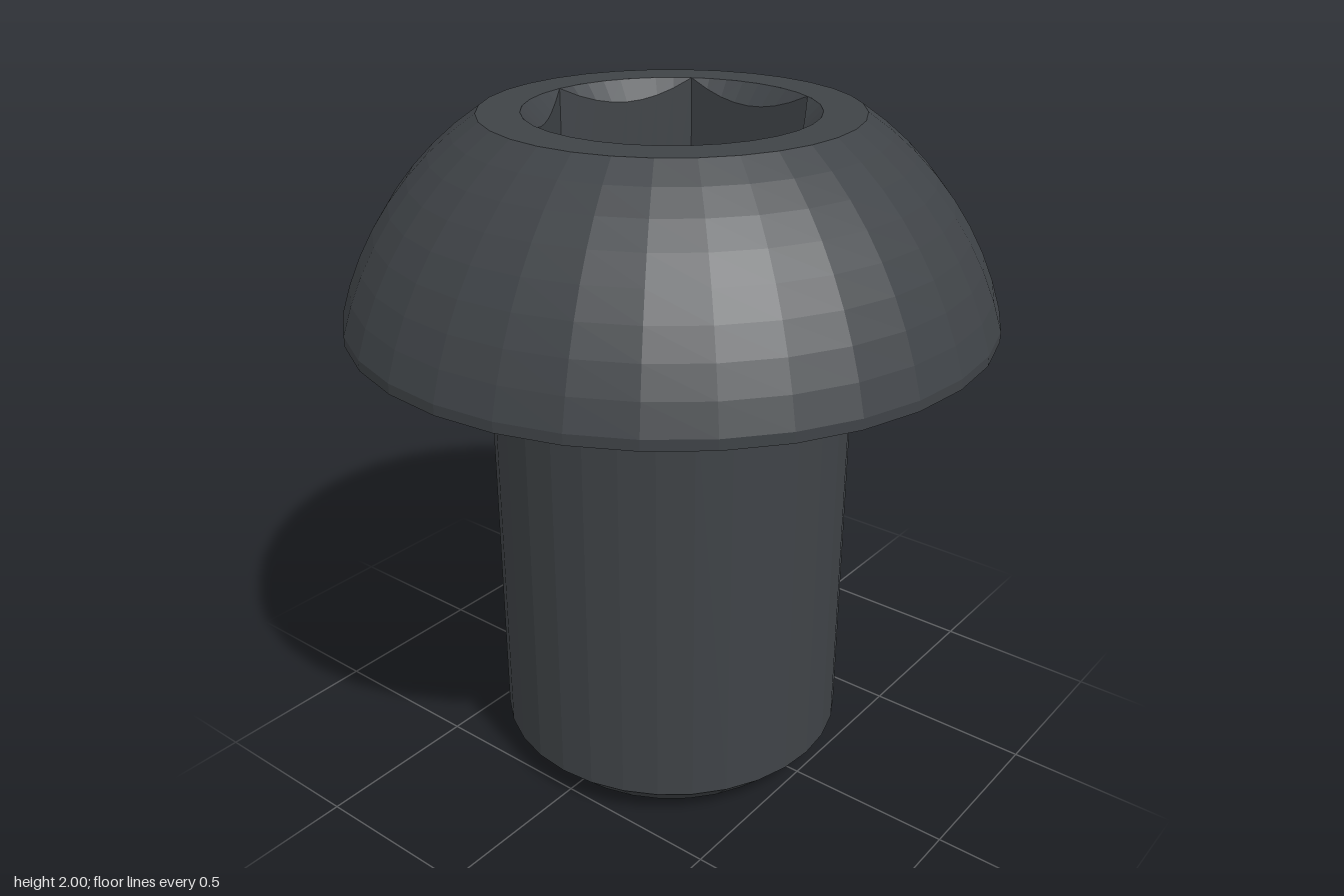
import * as THREE from 'three';

const SIDES = 32;
const material = new THREE.MeshStandardMaterial({ color: 0x3f4347, flatShading: true });

function part(name, geometry) {
  const mesh = new THREE.Mesh(geometry, material);
  mesh.name = name;
  return mesh;
}

function turned(name, profile) {
  const points = profile.map(([r, y]) => new THREE.Vector2(r, y));
  return part(name, new THREE.LatheGeometry(points, SIDES));
}

// Points on an arc around (cx, cy), angles in radians
function arc(cx, cy, radius, from, to, steps) {
  return Array.from({ length: steps + 1 }, (_, i) => {
    const a = from + ((to - from) * i) / steps;
    return [cx + radius * Math.cos(a), cy + radius * Math.sin(a)];
  });
}

// Hexagonal recess: round rim, conical lead-in, six walls and a flat floor
function socketGeometry(rim, apothem, top, floor) {
  const steps = 48;
  const positions = [];
  const index = [];
  for (let i = 0; i <= steps; i++) {
    const a = (i / steps) * Math.PI * 2;
    const fromFlat = (a % (Math.PI / 3)) - Math.PI / 6;
    const r = Math.min(rim, apothem / Math.cos(fromFlat));
    const rings = [[rim, top], [r, top - (rim - r)], [r, floor], [0, floor]];
    for (const [radius, y] of rings) {
      positions.push(radius * Math.cos(a), y, radius * Math.sin(a));
    }
    if (i === steps) break;
    for (let k = 0; k < 3; k++) {
      const p = i * 4 + k;
      const q = p + 4;
      index.push(p, q, p + 1);
      if (k < 2) index.push(q, q + 1, p + 1);
    }
  }
  const geometry = new THREE.BufferGeometry();
  geometry.setAttribute('position', new THREE.Float32BufferAttribute(positions, 3));
  // Corners run rim to centre, so reverse them to face into the recess
  for (let t = 0; t < index.length; t += 3) {
    [index[t + 1], index[t + 2]] = [index[t + 2], index[t + 1]];
  }
  geometry.setIndex(index);
  geometry.computeVertexNormals();
  return geometry;
}

export function createModel() {
  const group = new THREE.Group();
  group.name = 'buttonHeadScrew';

  // Shank with chamfered tip and a small fillet under the head
  group.add(turned('shank', [
    [0, 0], [0.44, 0], [0.53, 0.09],
    ...arc(0.57, 1.38, 0.04, Math.PI, Math.PI / 2, 4),
  ]));

  // Domed head: flat underside, short vertical edge, dome, flat top ring
  const centreY = 1.194;
  const radius = Math.hypot(0.93, 1.45 - centreY);
  group.add(turned('head', [
    [0.57, 1.42], [0.93, 1.42],
    ...arc(0, centreY, radius, Math.atan2(1.45 - centreY, 0.93), Math.atan2(2 - centreY, 0.53), 8),
    [0.41, 2],
  ]));

  group.add(part('hexSocket', socketGeometry(0.41, 0.355, 2, 1.63)));
  return group;
}
